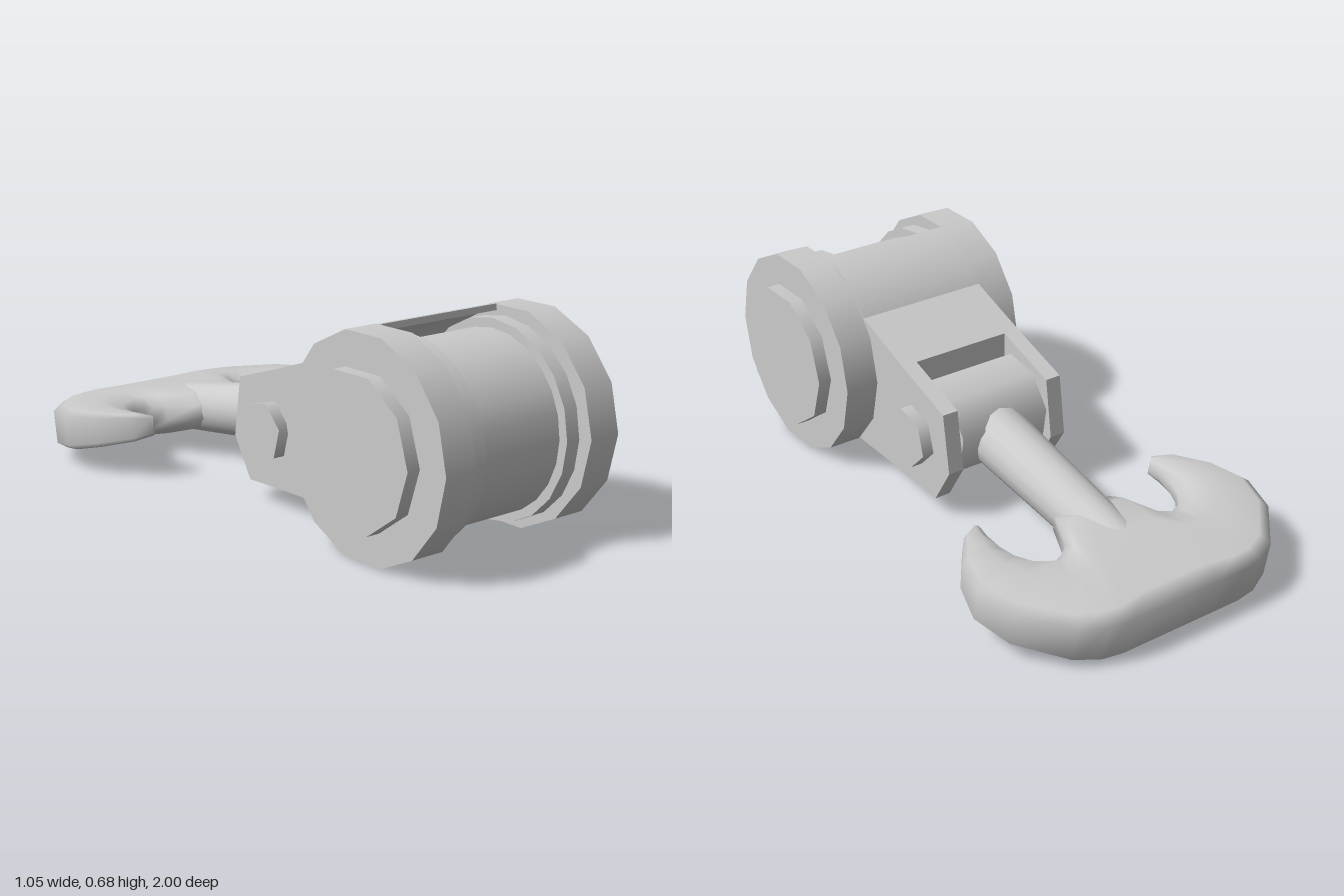
import * as THREE from 'three';

const material = new THREE.MeshStandardMaterial({ color: 0xcccccc });
const CY = 0.347, CZ = 0.653; // centre of the roller housing

function add(parent, name, geometry) {
  const mesh = new THREE.Mesh(geometry, material);
  mesh.name = name;
  parent.add(mesh);
  return mesh;
}

// Cylinder lying along x between x0 and x1
function discX(r, x0, x1, y, z, sides, turn = 0) {
  return new THREE.CylinderGeometry(r, r, x1 - x0, sides)
    .rotateY(turn).rotateZ(Math.PI / 2).translate((x0 + x1) / 2, y, z);
}

// Side profile drawn in (-z, y), extruded along x from x0 to x1
function profileX(shape, x0, x1) {
  return new THREE.ExtrudeGeometry(shape, { depth: x1 - x0, bevelEnabled: false, curveSegments: 10 })
    .rotateY(Math.PI / 2).translate(x0, 0, 0);
}

// Housing back: a shell around the roller that runs into the arm
function housingShape() {
  const s = new THREE.Shape();
  const rad = THREE.MathUtils.degToRad;
  s.absarc(-CZ, CY, 0.345, rad(81), rad(37), true);
  s.lineTo(-0.15, 0.475);
  s.lineTo(-0.15, 0.075);
  s.lineTo(-0.45, 0.08);
  s.absarc(-CZ, CY, 0.345, rad(-53), rad(-81), true);
  s.absarc(-CZ, CY, 0.325, rad(-81), rad(81), false);
  return s;
}

function tineShape() {
  return new THREE.Shape([
    [-0.15, 0.475], [0.08, 0.4], [0.11, 0.2], [0.03, 0.07], [-0.15, 0.075],
  ].map(([a, b]) => new THREE.Vector2(a, b)));
}

// Double hook: blunt outside, rounded inside, swept from tip to tip
function hookGeometry() {
  // inner x, inner z, outer x, outer z, half thickness
  const half = [
    [0, -0.5, 0, -1, 0.083],
    [0.105, -0.5, 0.12, -1, 0.083],
    [0.155, -0.62, 0.22, -1, 0.083],
    [0.19, -0.645, 0.29, -0.99, 0.082],
    [0.22, -0.66, 0.37, -0.95, 0.08],
    [0.28, -0.635, 0.49, -0.81, 0.075],
    [0.312, -0.59, 0.525, -0.68, 0.068],
    [0.327, -0.54, 0.49, -0.56, 0.058],
    [0.335, -0.48, 0.41, -0.45, 0.045],
    [0.33, -0.43, 0.35, -0.415, 0.032],
  ];
  const stations = [
    ...half.slice(1).reverse().map(([a, b, c, d, t]) => [-a, b, -c, d, t]),
    ...half,
  ];
  const section = [
    [0, -0.75], [0, 0.75], [0.12, 1], [0.6, 1], [0.88, 0.75],
    [1, 0.3], [1, -0.3], [0.88, -0.75], [0.6, -1], [0.12, -1],
  ];
  const n = section.length, last = (stations.length - 1) * n;
  const pos = [], index = [];
  for (const [ix, iz, ox, oz, t] of stations)
    for (const [u, v] of section) pos.push(ox + (ix - ox) * u, v * t, oz + (iz - oz) * u);
  for (let i = 0; i < stations.length - 1; i++)
    for (let j = 0; j < n; j++) {
      const a = i * n + j, b = i * n + (j + 1) % n;
      index.push(a, b, a + n, b, b + n, a + n);
    }
  for (let j = 1; j < n - 1; j++) {
    index.push(0, j + 1, j);
    index.push(last, last + j, last + j + 1);
  }
  const g = new THREE.BufferGeometry();
  g.setAttribute('position', new THREE.Float32BufferAttribute(pos, 3));
  g.setIndex(index);
  g.computeVertexNormals();
  return g;
}

export function createModel() {
  const model = new THREE.Group();
  model.name = 'hookBlock';

  // Housing
  add(model, 'housing', profileX(housingShape(), -0.23, 0.23));
  for (const side of [1, -1]) {
    const tag = side > 0 ? 'left' : 'right';
    const span = (a, b) => (side > 0 ? [a, b] : [-b, -a]);
    add(model, tag + 'SidePlate', discX(0.347, ...span(0.23, 0.345), CY, CZ, 14));
    add(model, tag + 'AxleCap', discX(0.242, ...span(0.34, 0.39), CY, CZ, 10));
    add(model, tag + 'ForkTine', profileX(tineShape(), ...span(0.175, 0.23)));
    add(model, tag + 'RollerFlange', discX(0.315, ...span(0.162, 0.213), CY, CZ, 20));
  }

  // Roller and its axle
  add(model, 'roller', discX(0.285, -0.165, 0.165, CY, CZ, 24));
  add(model, 'axle', discX(0.11, -0.24, 0.24, CY, CZ, 12));

  // Pivot bolt through the fork
  add(model, 'pivotBolt', discX(0.1, -0.27, 0.27, 0.26, 0.075, 6, 0.25));

  // Hook assembly, drooping toward the back
  const hook = new THREE.Group();
  hook.name = 'hookAssembly';
  hook.position.y = 0.251;
  hook.rotation.x = -0.16;
  model.add(hook);
  add(hook, 'hookKnuckle', discX(0.165, -0.165, 0.165, 0, 0.065, 8, Math.PI / 8));
  add(hook, 'shank', new THREE.CylinderGeometry(0.105, 0.082, 0.75, 16)
    .rotateX(Math.PI / 2).translate(0, 0, -0.375));
  add(hook, 'doubleHook', hookGeometry());

  return model;
}
